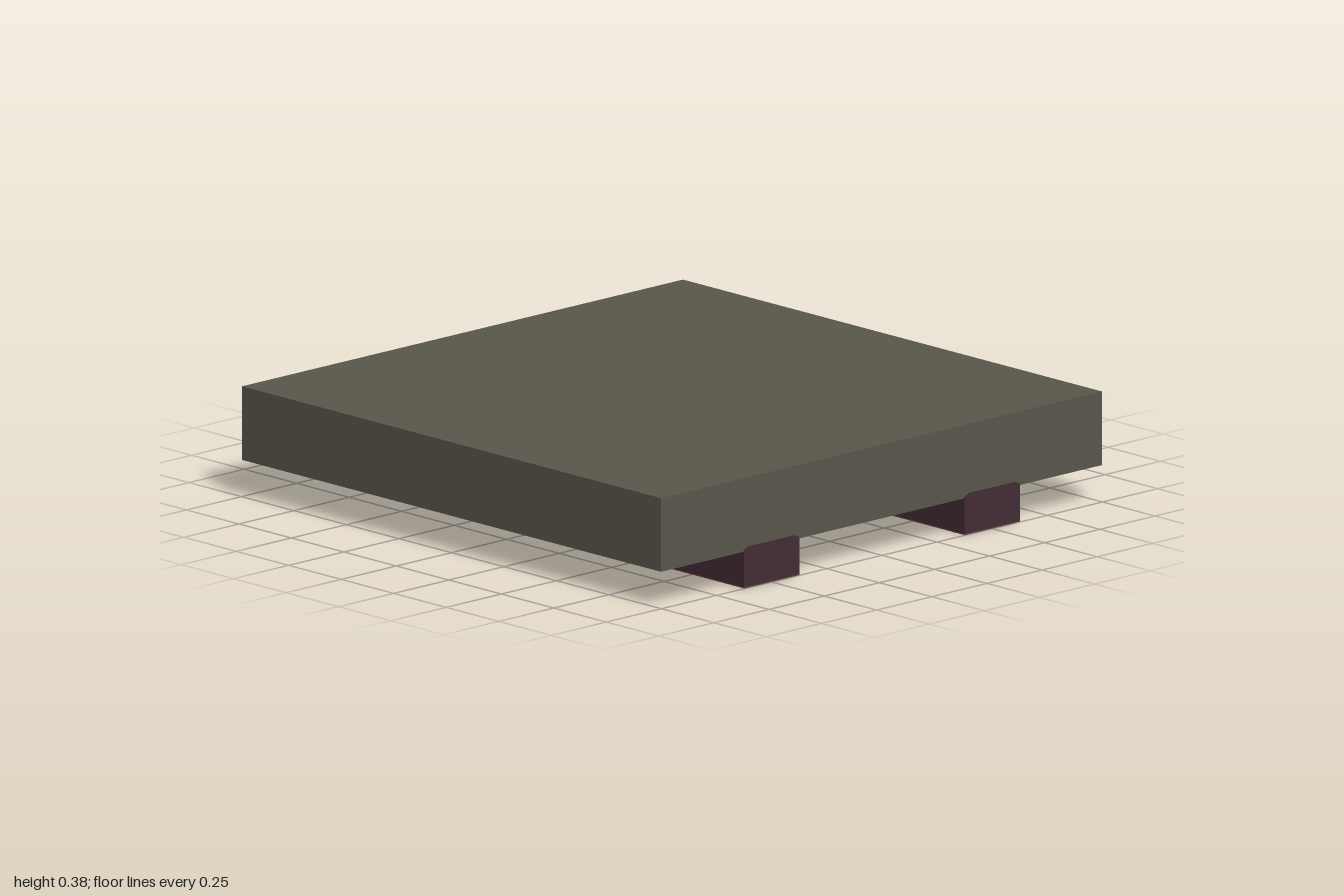
import * as THREE from 'three';

const paint = (name, color) => {
  const m = new THREE.MeshStandardMaterial({ color });
  m.name = name;
  return m;
};

export function createModel() {
  const model = new THREE.Group();
  model.name = 'platform';
  const stone = paint('grey stone', 0x5a584c);
  const wood = paint('dark plum wood', 0x432c36);
  const grain = paint('red brown wood', 0x5e3c37);
  const dark = paint('dark knots', 0x3a2826);

  const add = (parent, name, geometry, material, x, y, z) => {
    const mesh = new THREE.Mesh(geometry, material);
    mesh.name = name;
    mesh.position.set(x, y, z);
    parent.add(mesh);
    return mesh;
  };

  // Thick square slab
  add(model, 'slab', new THREE.BoxGeometry(1.996, 0.25, 2), stone, 0, 0.25, 0);

  // Runner profile: its chamfered top edge is let into the slab
  const profile = new THREE.Shape([
    [-0.125, 0.005], [0.125, 0.005], [0.125, 0.13],
    [0.105, 0.14], [-0.105, 0.14], [-0.125, 0.13],
  ].map(([x, y]) => new THREE.Vector2(x, y)));
  const beamGeometry = new THREE.ExtrudeGeometry(profile, { depth: 2, bevelEnabled: false });
  beamGeometry.translate(0, 0, -1).rotateY(Math.PI / 2);
  const soleGeometry = new THREE.BoxGeometry(2, 0.004, 0.25);
  const knotGeometry = new THREE.CylinderGeometry(0.045, 0.045, 0.002, 10);

  // Knots along the underside, as x and offset from the runner's middle
  const knots = [[0.5, -0.01], [-0.32, 0.07], [0.95, -0.03], [0.95, 0.08], [-0.95, 0.0]];

  // Two runners, one the half-turn copy of the other
  for (const side of [-1, 1]) {
    const runner = new THREE.Group();
    runner.name = side < 0 ? 'backRunner' : 'frontRunner';
    add(runner, 'beam', beamGeometry, wood, 0, 0, 0);
    add(runner, 'sole', soleGeometry, grain, 0, 0.003, 0);
    for (const [x, z] of knots) add(runner, 'knot', knotGeometry, dark, x, 0.001, z);
    runner.position.z = side * 0.5;
    if (side > 0) runner.rotation.y = Math.PI;
    model.add(runner);
  }
  return model;
}
